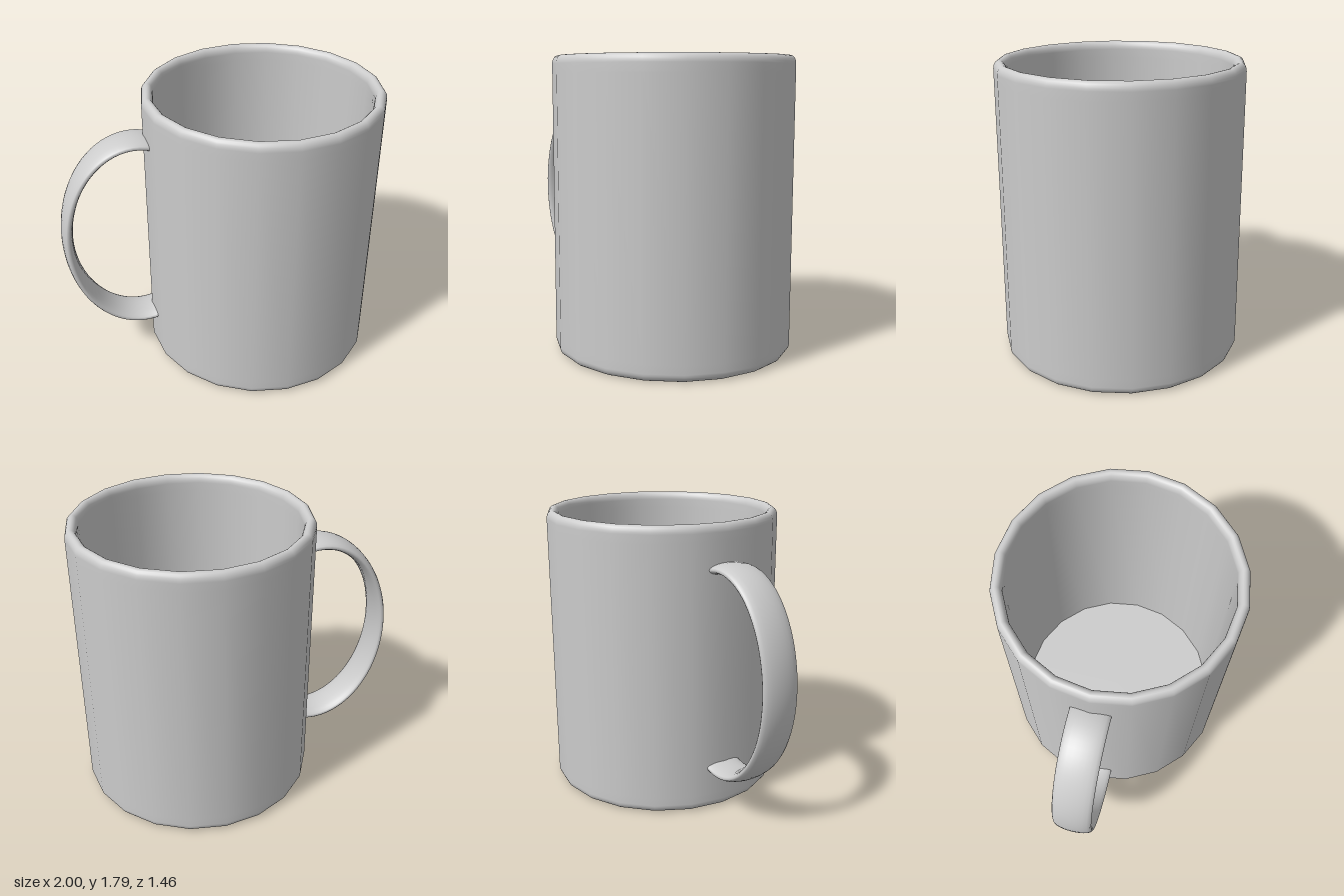
import * as THREE from 'three';

const SIDES = 20, RADIUS = 0.73, INNER = 0.66, HEIGHT = 1.79, FLOOR = 0.07;
const CENTRE_X = 0.27;

export function createModel() {
  const group = new THREE.Group();
  group.name = 'mug';
  const material = new THREE.MeshStandardMaterial({ color: 0xcccccc });

  const add = (name, geometry, x = 0, y = 0) => {
    const mesh = new THREE.Mesh(geometry, material);
    mesh.name = name;
    mesh.position.set(x, y, 0);
    group.add(mesh);
    return mesh;
  };

  // Wall profile: rounded foot, straight outside, rounded lip, straight inside
  const profile = [];
  const arc = (cx, cy, rx, ry, from, to, steps) => {
    for (let i = 0; i <= steps; i++) {
      const a = from + ((to - from) * i) / steps;
      profile.push(new THREE.Vector2(cx + rx * Math.cos(a), cy + ry * Math.sin(a)));
    }
  };
  const lip = (RADIUS - INNER) / 2;
  arc(RADIUS - 0.045, 0.05, 0.045, 0.05, -Math.PI / 2, 0, 6);
  profile.push(new THREE.Vector2(RADIUS, 0.1), new THREE.Vector2(RADIUS, HEIGHT - 0.1));
  arc(RADIUS - lip, HEIGHT - 0.05, lip, 0.05, 0, Math.PI, 12);
  profile.push(new THREE.Vector2(INNER, HEIGHT - 0.1), new THREE.Vector2(INNER, FLOOR));
  add('wall', new THREE.LatheGeometry(profile, SIDES), CENTRE_X);

  // Flat discs: underside and inside floor
  const underside = new THREE.CircleGeometry(RADIUS - 0.045, SIDES).rotateX(Math.PI / 2);
  add('underside', underside, CENTRE_X);
  const floor = new THREE.CircleGeometry(INNER, SIDES).rotateX(-Math.PI / 2);
  add('insideFloor', floor, CENTRE_X, FLOOR);

  // Handle: elliptical loop swept with a flat oval section, ends buried in the wall
  class HandleCurve extends THREE.Curve {
    getPoint(t, target = new THREE.Vector3()) {
      const a = Math.PI / 2 - 0.23 + t * (Math.PI + 0.46);
      return target.set(-0.52 + 0.445 * Math.cos(a), 0.9 + 0.635 * Math.sin(a), 0);
    }
  }
  const thickness = 0.035, halfWidth = 0.12;
  const handle = new THREE.TubeGeometry(new HandleCurve(), 48, thickness, 20, false);
  handle.scale(1, 1, halfWidth / thickness);
  add('handle', handle);

  return group;
}
